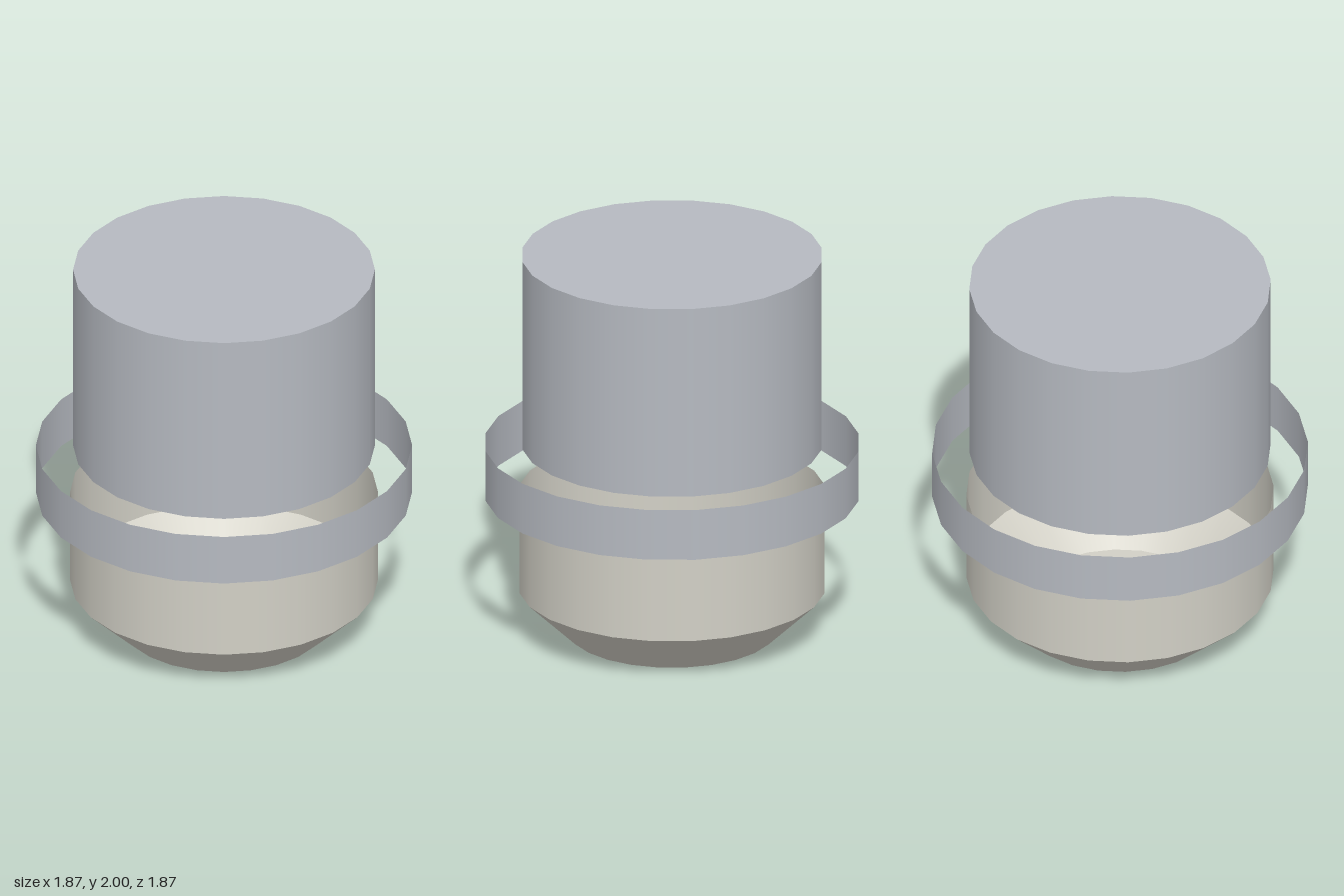
import * as THREE from 'three';

const SIDES = 24;

export function createModel() {
  const model = new THREE.Group();
  const steel = new THREE.MeshStandardMaterial({ color: 0xb6bac1, side: THREE.DoubleSide });
  const stone = new THREE.MeshStandardMaterial({ color: 0xd2d0c6, side: THREE.DoubleSide });

  // Open round wall between two heights
  function wall(name, rTop, rBottom, y0, y1, material) {
    const geometry = new THREE.CylinderGeometry(rTop, rBottom, y1 - y0, SIDES, 1, true);
    const mesh = new THREE.Mesh(geometry, material);
    mesh.name = name;
    mesh.position.y = (y0 + y1) / 2;
    model.add(mesh);
  }

  // Flat disc facing up (1) or down (-1); its corners meet those of the walls
  function disc(name, radius, y, facing, material) {
    const mesh = new THREE.Mesh(new THREE.CircleGeometry(radius, SIDES), material);
    mesh.name = name;
    mesh.rotation.x = -facing * Math.PI / 2;
    mesh.position.y = y;
    model.add(mesh);
  }

  // Upper drum, closed on top and open below
  wall('upperDrum', 0.75, 0.75, 1, 2, steel);
  disc('upperDrumTop', 0.75, 2, 1, steel);

  // Thin free-standing band around the middle
  wall('middleBand', 0.935, 0.935, 0.735, 1, steel);

  // Lower cup, open on top, with a tapered foot
  wall('lowerCup', 0.765, 0.765, 0.235, 0.735, stone);
  wall('taperedFoot', 0.765, 0.52, 0, 0.235, stone);
  disc('footBottom', 0.52, 0, -1, stone);

  return model;
}
